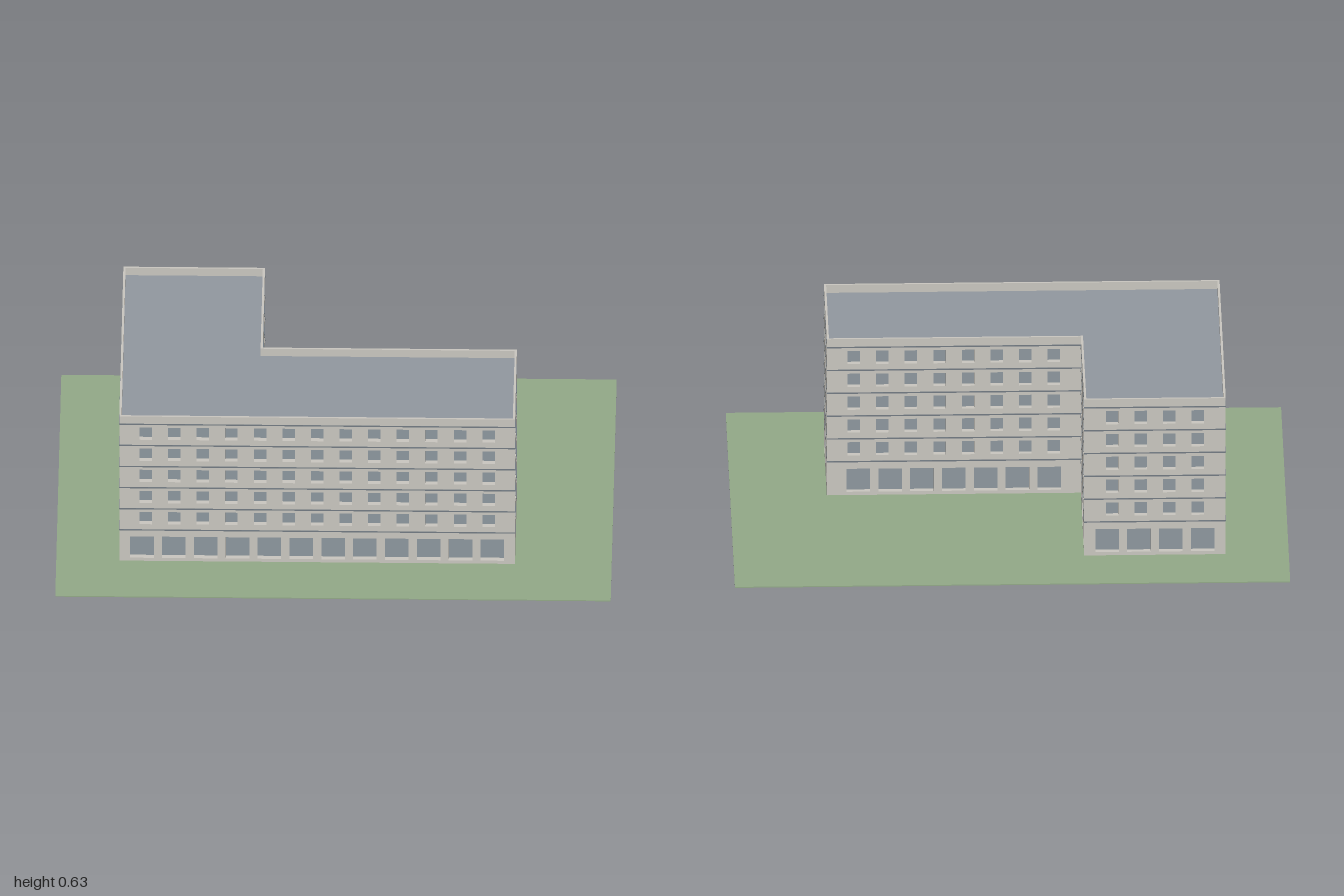
import * as THREE from 'three';
import { mergeGeometries } from 'three/addons/utils/BufferGeometryUtils.js';

const BASE = 0.004, FIRST = 0.138, STOREY = 0.0915, STOREYS = 5;
const ROOF = FIRST + STOREY * STOREYS, TOP = 0.629, RECESS = 0.02;

const mat = (name, color, extra = {}) =>
  Object.assign(new THREE.MeshStandardMaterial({ color, ...extra }), { name });

// L-shaped footprint as [x, z] corners, starting at the front right corner
function footprint(i = 0) {
  return [
    [-0.773 + i, 0.483 - i], [0.652 - i, 0.483 - i], [0.652 - i, 0.03 + i],
    [-0.263 - i, 0.03 + i], [-0.263 - i, -0.485 + i], [-0.773 + i, -0.485 + i],
  ];
}
const outline = (i) => footprint(i).map(([x, z]) => new THREE.Vector2(x, -z));

// Extrudes a plan shape upward from y0 to y1
function slab(shape, y0, y1) {
  const g = new THREE.ExtrudeGeometry(shape, { depth: y1 - y0, bevelEnabled: false });
  return g.rotateX(-Math.PI / 2).translate(0, y0, 0);
}

// A centred row of openings along a wall of the given length
function row(length, pitch, w, y, h) {
  const n = Math.floor(length / pitch);
  return Array.from({ length: n }, (_, k) => ({
    x: length / 2 + (k - (n - 1) / 2) * pitch - w / 2, y, w, h,
  }));
}

export function createModel() {
  const wallMat = mat('wall stone', 0xc9c6bf);
  const glassMat = mat('window glass', 0x8d979e);
  const bandMat = mat('floor band', 0x727b83);
  const roofMat = mat('roof grey', 0x91979f);
  const grassMat = mat('grass', 0x92a987);

  const model = new THREE.Group();
  model.name = 'apartmentBlock';
  const add = (parent, name, geometry, material) => {
    const mesh = new THREE.Mesh(geometry, material);
    mesh.name = name;
    parent.add(mesh);
    return mesh;
  };

  // Lawn
  add(model, 'lawn', new THREE.BoxGeometry(2, BASE, 1.428).translate(0, BASE / 2, 0), grassMat);

  // One facade per footprint edge: pierced wall, recessed panes, floor bands
  const corners = footprint();
  const names = ['front', 'wingEnd', 'courtLong', 'courtShort', 'back', 'side'];
  corners.forEach(([x, z], e) => {
    const [nx, nz] = corners[(e + 1) % corners.length];
    const length = Math.hypot(nx - x, nz - z);
    const facade = new THREE.Group();
    facade.name = names[e] + 'Facade';
    facade.position.set(x, 0, z);
    facade.rotation.y = Math.atan2(z - nz, nx - x);
    model.add(facade);

    // Shop windows at street level, smaller windows above
    const openings = row(length, 0.1147, 0.085, 0.017, 0.092);
    for (let f = 0; f < STOREYS; f++)
      openings.push(...row(length, 0.1029, 0.045, FIRST + 0.0245 + f * STOREY, 0.053));

    const wall = new THREE.Shape([
      new THREE.Vector2(0, BASE), new THREE.Vector2(length, BASE),
      new THREE.Vector2(length, ROOF), new THREE.Vector2(0, ROOF),
    ]);
    for (const o of openings)
      wall.holes.push(new THREE.Path([
        new THREE.Vector2(o.x, o.y), new THREE.Vector2(o.x, o.y + o.h),
        new THREE.Vector2(o.x + o.w, o.y + o.h), new THREE.Vector2(o.x + o.w, o.y),
      ]));
    add(facade, 'wall', new THREE.ExtrudeGeometry(wall, { depth: RECESS, bevelEnabled: false })
      .translate(0, 0, -RECESS), wallMat);

    add(facade, 'windows', mergeGeometries(openings.map((o) =>
      new THREE.PlaneGeometry(o.w, o.h)
        .translate(o.x + o.w / 2, o.y + o.h / 2, -RECESS + 0.0005))), glassMat);

    const bands = [];
    for (let f = 0; f <= STOREYS; f++)
      bands.push(new THREE.BoxGeometry(length, 0.005, 0.002)
        .translate(length / 2, FIRST + f * STOREY, 0));
    add(facade, 'floorBands', mergeGeometries(bands), bandMat);
  });

  // Flat roof with a thin parapet around it
  add(model, 'roof', slab(new THREE.Shape(outline(0.004)), ROOF - 0.012, ROOF + 0.002), roofMat);
  const rim = new THREE.Shape(outline(0));
  rim.holes.push(new THREE.Path(outline(0.008)));
  add(model, 'parapet', slab(rim, ROOF, TOP), wallMat);

  return model;
}
